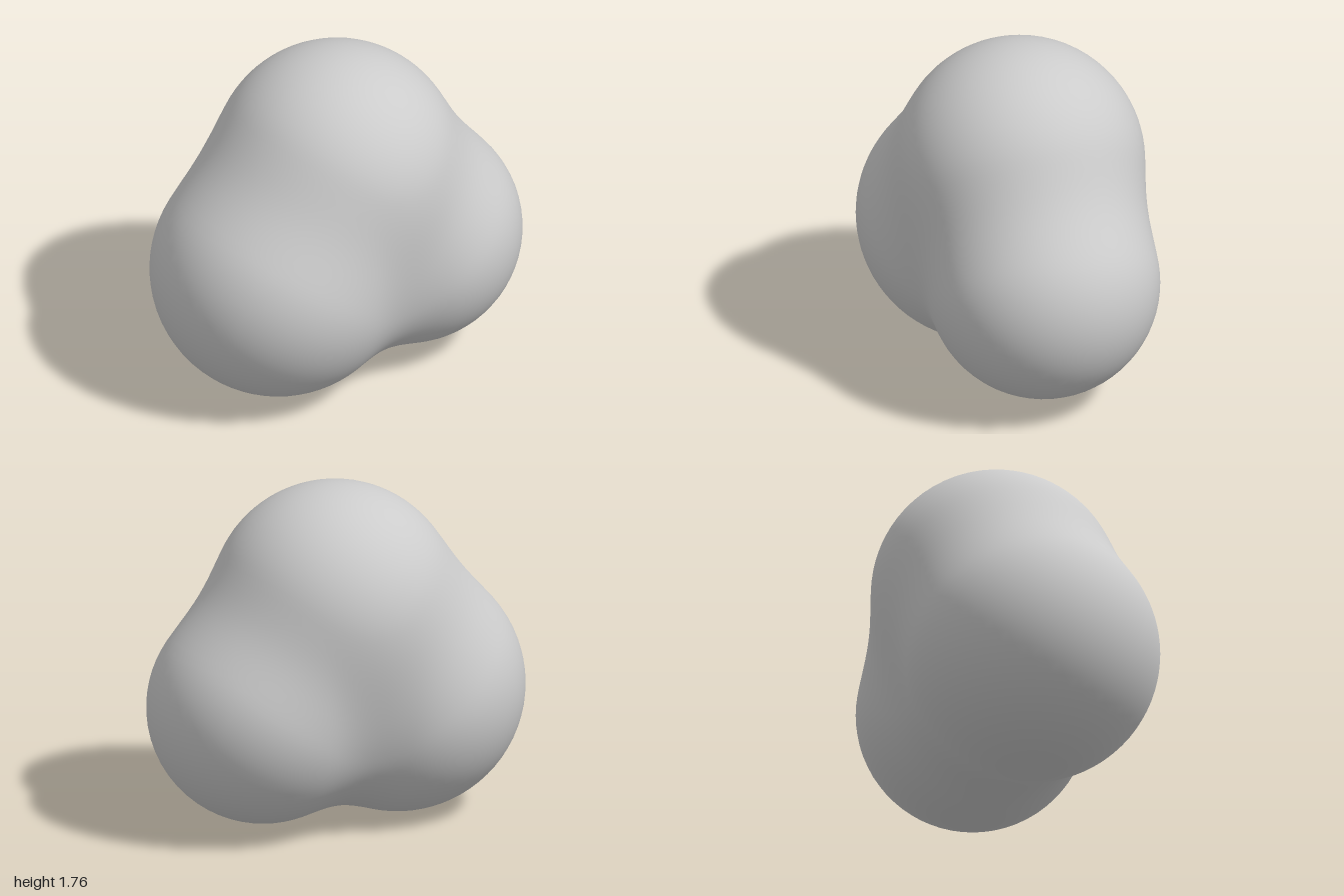
import * as THREE from 'three';
import { mergeVertices } from 'three/addons/utils/BufferGeometryUtils.js';

// Three round lobes that melt into each other
const lobes = [
  { centre: new THREE.Vector3(-0.35, 0.655, 0.02), radius: 0.647 },
  { centre: new THREE.Vector3(0.41, 0.64, -0.02), radius: 0.588 },
  { centre: new THREE.Vector3(0.02, 1.137, -0.035), radius: 0.631 },
];
const BLEND = 0.23;
const CORE = new THREE.Vector3(0.01, 0.82, 0);

// Smooth union of two distances
function blend(a, b) {
  const h = Math.max(BLEND - Math.abs(a - b), 0) / BLEND;
  return Math.min(a, b) - h * h * BLEND / 4;
}

function distance(p) {
  return lobes.map((l) => p.distanceTo(l.centre) - l.radius).reduce(blend);
}

// Push a sphere's vertices out from the core until they meet the blended surface
function blobGeometry() {
  const ico = new THREE.IcosahedronGeometry(1, 18);
  ico.deleteAttribute('normal');
  ico.deleteAttribute('uv');
  const geometry = mergeVertices(ico, 1e-4);
  const pos = geometry.attributes.position;
  const dir = new THREE.Vector3();
  const p = new THREE.Vector3();
  for (let i = 0; i < pos.count; i++) {
    dir.fromBufferAttribute(pos, i).normalize();
    let near = 0, far = 1.6;
    for (let step = 0; step < 24; step++) {
      const mid = (near + far) / 2;
      p.copy(CORE).addScaledVector(dir, mid);
      if (distance(p) < 0) near = mid; else far = mid;
    }
    pos.setXYZ(i, p.x, p.y, p.z);
  }
  geometry.computeVertexNormals();
  return geometry;
}

export function createModel() {
  const model = new THREE.Group();
  model.name = 'blob';
  const body = new THREE.Mesh(blobGeometry(), new THREE.MeshStandardMaterial({ color: 0xcccccc }));
  body.name = 'threeLobedBody';
  model.add(body);
  return model;
}
